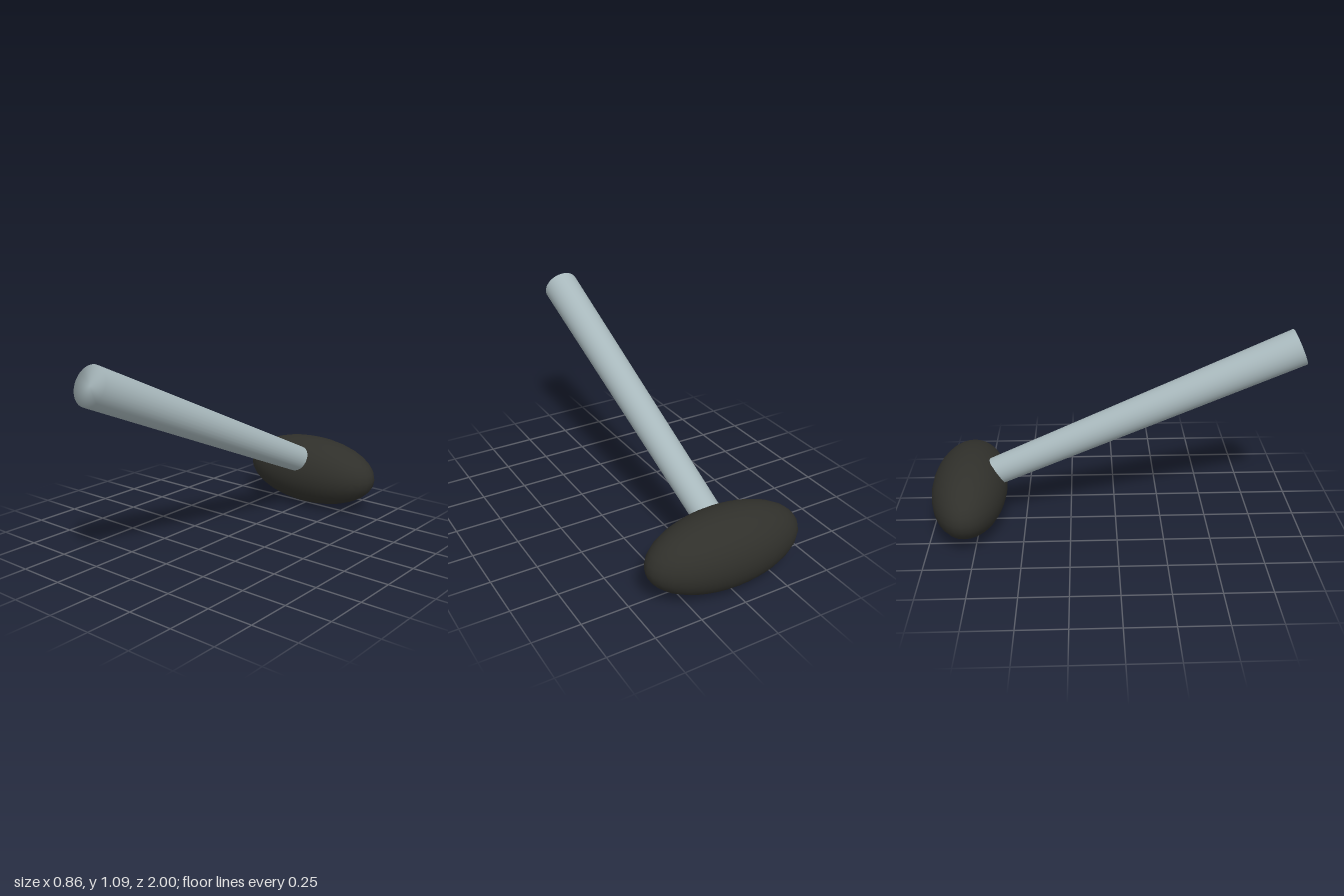
import * as THREE from 'three';
import { mergeVertices } from 'three/addons/utils/BufferGeometryUtils.js';

// Weld all vertices so shading runs smoothly over every edge
function weld(geometry) {
  geometry.deleteAttribute('uv');
  geometry.deleteAttribute('normal');
  const welded = mergeVertices(geometry, 1e-4);
  welded.computeVertexNormals();
  return welded;
}

function part(name, geometry, color) {
  const mesh = new THREE.Mesh(geometry, new THREE.MeshStandardMaterial({ color }));
  mesh.name = name;
  return mesh;
}

export function createModel() {
  const group = new THREE.Group();
  group.name = 'mallet';

  // Head: an ellipsoid lying across the handle
  const head = part('head', new THREE.SphereGeometry(1, 32, 16), 0x30302b);
  head.scale.set(0.43, 0.203, 0.202);
  head.position.set(0, 0.203, -0.798);
  group.add(head);

  // Handle: a rod rising to the front, tapering toward the head
  const grip = new THREE.Vector3(0, 0.997, 0.961);
  const root = new THREE.Vector3(0, 0.237, -0.798);
  const axis = grip.clone().sub(root);
  const handle = part('handle', weld(new THREE.CylinderGeometry(0.1, 0.074, axis.length(), 32)), 0xa8b8bc);
  handle.position.copy(grip).add(root).multiplyScalar(0.5);
  handle.quaternion.setFromUnitVectors(new THREE.Vector3(0, 1, 0), axis.normalize());
  group.add(handle);

  return group;
}
